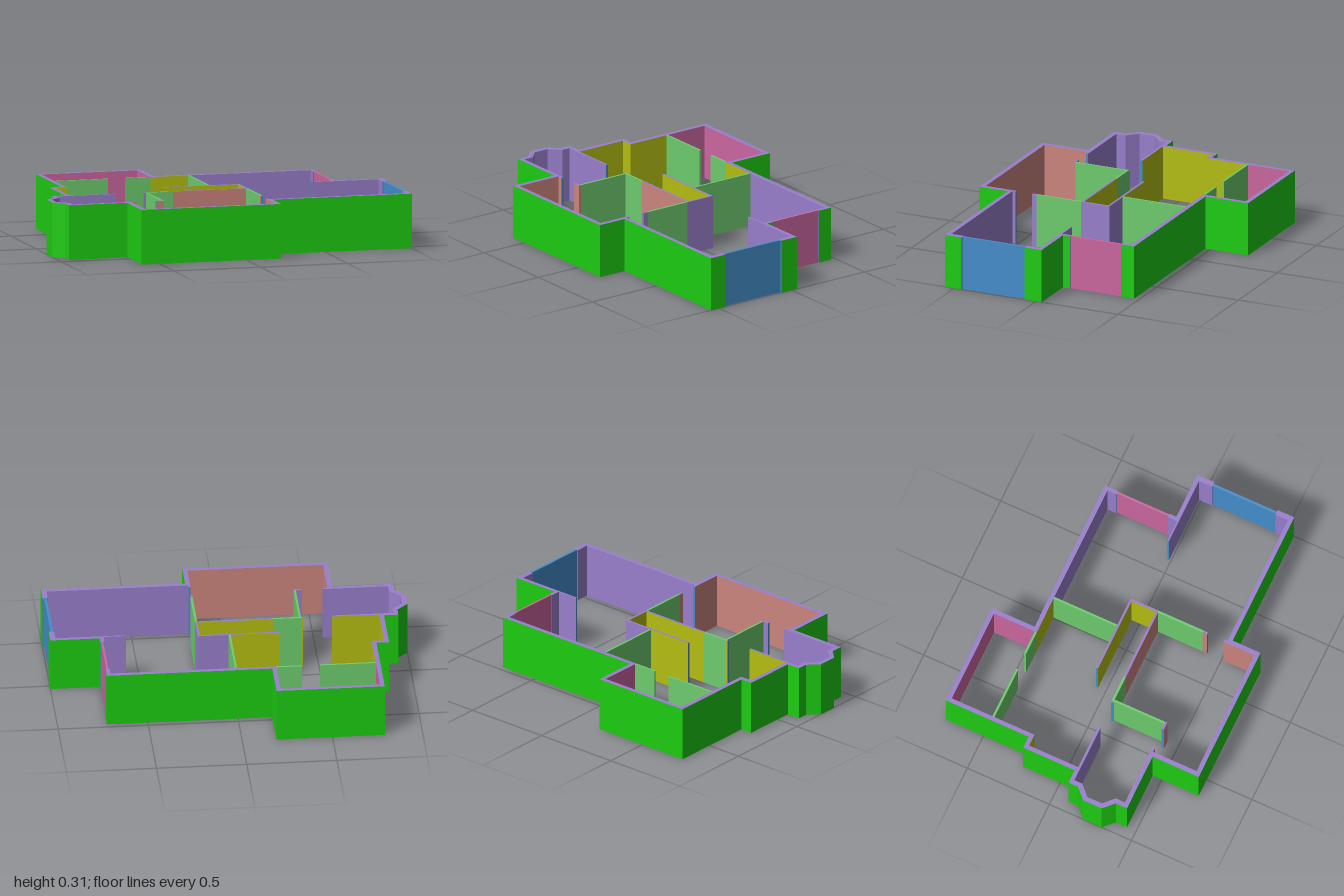
import * as THREE from 'three';

const H = 0.305;
const GREEN = 0x1dcc12, MINT = 0x6ecc6e, PURPLE = 0x997fcc, PINK = 0xcc67a0;
const BLUE = 0x458ecc, SALMON = 0xcc857e, OLIVE = 0xb4be12;

const materials = {};
const material = (color) => (materials[color] ??= new THREE.MeshStandardMaterial({ color, flatShading: true }));

// Upright prism over four [x, z] corners; sides[i] colours the face from corner i to i + 1 (null leaves it open)
function prism(name, corners, sides, cap = PURPLE) {
  const group = new THREE.Group();
  group.name = name;
  const byColor = new Map();
  const quad = (color, a, b, c, d) => {
    if (!byColor.has(color)) byColor.set(color, []);
    byColor.get(color).push(...a, ...b, ...c, ...a, ...c, ...d);
  };
  const low = corners.map(([x, z]) => [x, 0, z]);
  const high = corners.map(([x, z]) => [x, H, z]);
  sides.forEach((color, i) => {
    const j = (i + 1) % 4;
    if (color !== null) quad(color, low[i], low[j], high[j], high[i]);
  });
  quad(cap, ...high);
  quad(cap, ...[...low].reverse());
  for (const [color, points] of byColor) {
    const geometry = new THREE.BufferGeometry();
    geometry.setAttribute('position', new THREE.Float32BufferAttribute(points, 3));
    geometry.computeVertexNormals();
    const mesh = new THREE.Mesh(geometry, material(color));
    mesh.name = name + 'Face';
    group.add(mesh);
  }
  return group;
}

// Straight wall along the axes, coloured on its north, west, south and east faces
const box = (name, x0, x1, z0, z1, sides, cap) =>
  prism(name, [[x1, z0], [x0, z0], [x0, z1], [x1, z1]], sides, cap);

// Run of mitred outer wall; rows are outer x, outer z, inner x, inner z, colour of the room side up to the next row
function outerRun(rows) {
  const group = new THREE.Group();
  group.name = 'outerWalls';
  for (let i = 0; i < rows.length - 1; i++) {
    const [ax, az, cx, cz, inside] = rows[i];
    const [bx, bz, dx, dz] = rows[i + 1];
    group.add(prism('outerWall', [[ax, az], [bx, bz], [dx, dz], [cx, cz]],
      [GREEN, i === rows.length - 2 ? BLUE : null, inside, i === 0 ? BLUE : null]));
  }
  return group;
}

export function createModel() {
  const model = new THREE.Group();
  model.name = 'floorPlan';

  // Outer shell from the east window round the north, west and south
  model.add(outerRun([
    [0.727, -0.39, 0.705, -0.39, PURPLE],
    [0.727, -0.47, 0.705, -0.445, PURPLE],
    [0.005, -0.47, 0.005, -0.445, OLIVE],
    [-0.19, -0.47, -0.215, -0.445, PINK],
    [-0.19, -0.73, -0.215, -0.705, PINK],
    [-0.79, -0.73, -0.765, -0.705, PINK],
    [-0.79, -0.45, -0.765, -0.45, OLIVE],
    [-0.79, -0.225, -0.765, -0.2, OLIVE],
    [-0.86, -0.225, -0.835, -0.2, OLIVE],
    [-0.86, 0.088, -0.835, 0.112, PURPLE],
    // bay
    [-0.94, 0.088, -0.913, 0.112, PURPLE],
    [-0.94, 0.147, -0.913, 0.16, PURPLE],
    [-1, 0.206, -0.972, 0.218, PURPLE],
    [-1, 0.318, -0.972, 0.307, PURPLE],
    [-0.94, 0.377, -0.913, 0.363, PURPLE],
    [-0.94, 0.445, -0.913, 0.42, PURPLE],
    // front room and south-east room
    [-0.605, 0.445, -0.578, 0.42, SALMON],
    [-0.605, 0.725, -0.578, 0.7, SALMON],
    [0.2, 0.725, 0.173, 0.7, SALMON],
    [0.2, 0.555, 0.173, 0.53, PURPLE],
    [1, 0.555, 0.97, 0.53, PURPLE],
    [1, 0.455, 0.97, 0.455, PURPLE],
  ]));
  // Short shell between the two east windows
  model.add(outerRun([
    [1, 0.07, 0.97, 0.07, PURPLE],
    [1, -0.035, 0.97, -0.012, PURPLE],
    [0.727, -0.035, 0.705, -0.012, PURPLE],
    [0.727, -0.078, 0.705, -0.078, PURPLE],
  ]));

  // Window panels
  const all = (c) => [c, c, c, c];
  model.add(
    box('northEastWindow', 0.711, 0.723, -0.39, -0.078, all(PINK), PINK),
    box('southEastWindow', 0.976, 0.99, 0.07, 0.455, all(BLUE), BLUE),
  );

  // Thin partitions
  for (const [x0, x1, z0, z1] of [
    [-0.765, -0.457, -0.457, -0.445],
    [-0.355, -0.215, -0.457, -0.445],
    [0.003, 0.015, -0.445, -0.061],
    [-0.402, -0.39, 0.112, 0.42],
    [0.173, 0.186, 0.112, 0.385],
    [-0.402, -0.245, 0.099, 0.112],
  ]) model.add(box('partition', x0, x1, z0, z1, all(MINT), MINT));

  // Inner walls: north, west, south and east colours
  for (const [x0, x1, z0, z1, ...sides] of [
    [-0.835, -0.573, 0.099, 0.112, OLIVE, null, PURPLE, BLUE],
    [-0.412, -0.402, 0.099, 0.112, OLIVE, BLUE, PURPLE, null],
    [-0.245, 0.186, 0.099, 0.112, OLIVE, null, SALMON, PURPLE],
    [-0.265, 0.005, -0.061, -0.048, OLIVE, BLUE, OLIVE, null],
    [0.005, 0.186, -0.061, -0.048, PURPLE, null, OLIVE, PURPLE],
    [0.173, 0.186, -0.048, 0.099, null, OLIVE, null, PURPLE],
    [-0.578, -0.55, 0.42, 0.434, PURPLE, null, SALMON, BLUE],
    [-0.435, -0.39, 0.42, 0.434, PURPLE, BLUE, SALMON, SALMON],
    [0.173, 0.186, 0.385, 0.412, null, SALMON, BLUE, PURPLE],
    [0.173, 0.186, 0.512, 0.53, BLUE, SALMON, null, PURPLE],
    [0.58, 0.705, -0.021, -0.012, PURPLE, BLUE, PURPLE, null],
  ]) model.add(box('innerWall', x0, x1, z0, z1, sides));

  return model;
}
